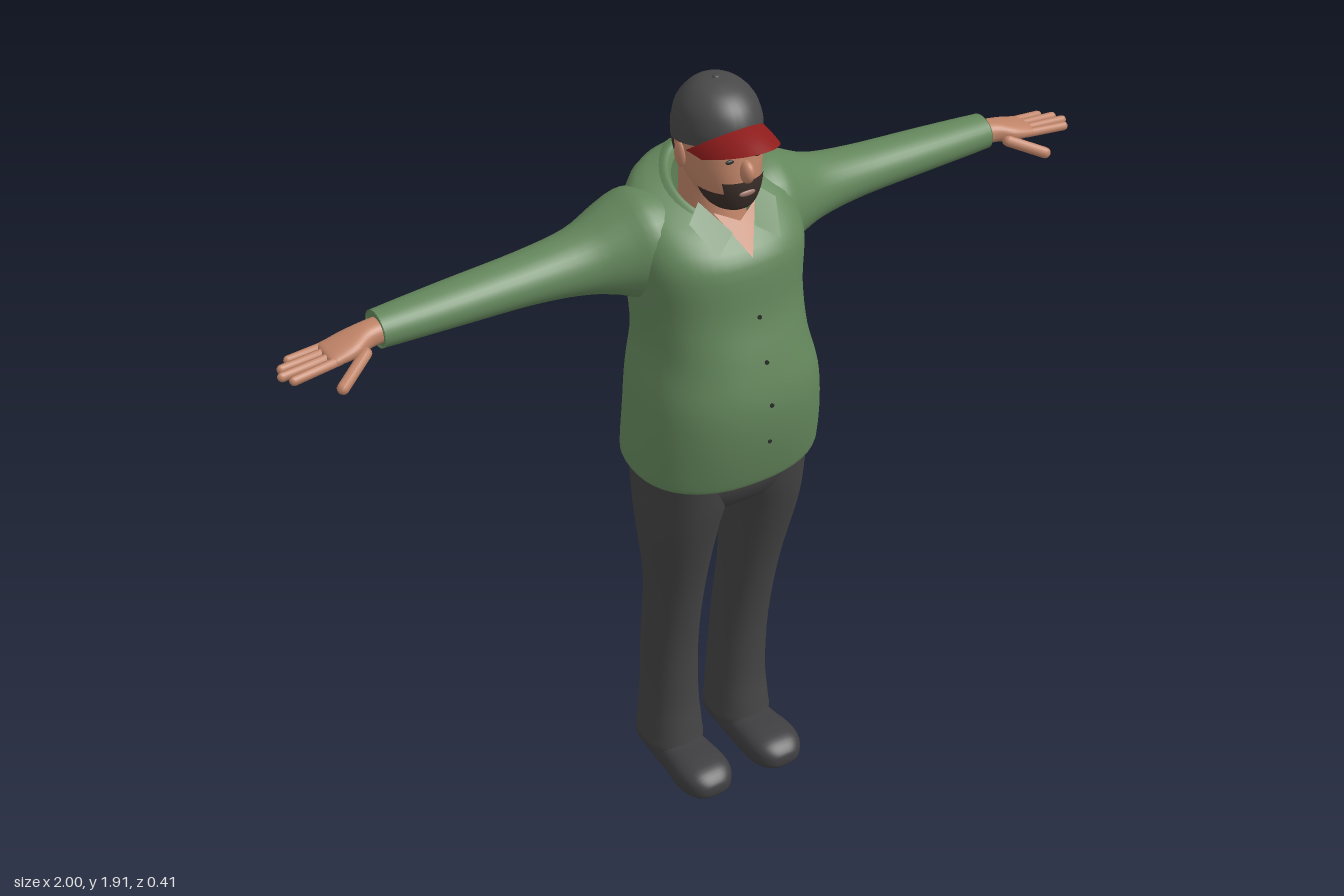
import * as THREE from 'three';
import { mergeGeometries } from 'three/addons/utils/BufferGeometryUtils.js';

const paint = (name, color, side = THREE.FrontSide) => {
  const m = new THREE.MeshStandardMaterial({ color, side });
  m.name = name;
  return m;
};

// Smooth skin over cross-sections. Row: [height, centreX, halfWidth, zFront, zBack, tilt]
// Angle 0 is the front (+z); arc and span pick part of the surface, grow inflates it.
function loft(rows, { p = 2, arc = [0, 360], span = [0, rows.length - 1], grow = 0, n = 32, steps = 4 } = {}) {
  const full = arc[1] - arc[0] >= 360;
  const flat = rows.flatMap(r => [...r, 0].slice(0, 6));
  const curve = new THREE.CubicInterpolant(rows.map((_, i) => i), flat, 6, new Float32Array(6));
  const power = v => Math.sign(v) * Math.abs(v) ** (2 / p);
  const levels = Math.ceil((span[1] - span[0]) * steps);
  const cols = full ? n : n + 1;
  const pos = [], index = [];
  for (let i = 0; i <= levels; i++) {
    const [y, x, w, zf, zb, tilt] = curve.evaluate(span[0] + (span[1] - span[0]) * i / levels);
    for (let j = 0; j < cols; j++) {
      const a = THREE.MathUtils.degToRad(arc[0] + (arc[1] - arc[0]) * j / n);
      const dx = (Math.max(0, w) + grow) * power(Math.sin(a));
      const dz = (Math.max(0, (zf - zb) / 2) + grow) * power(Math.cos(a));
      pos.push(x + dx, y + tilt * dz, (zf + zb) / 2 + dz);
    }
  }
  for (let i = 0; i < levels; i++) for (let j = 0; j < n; j++) {
    const a = i * cols + j, b = i * cols + (j + 1) % cols;
    index.push(a, b, a + cols, b, b + cols, a + cols);
  }
  const g = new THREE.BufferGeometry();
  g.setAttribute('position', new THREE.Float32BufferAttribute(pos, 3));
  g.setIndex(index);
  g.computeVertexNormals();
  return g;
}

// Reflection across x = 0 with the faces turned back outward
function mirrored(geo) {
  const g = geo.clone().scale(-1, 1, 1);
  const ix = g.index.array;
  for (let i = 0; i < ix.length; i += 3) [ix[i], ix[i + 1]] = [ix[i + 1], ix[i]];
  g.computeVertexNormals();
  return g;
}

function facets(points, index) {
  const g = new THREE.BufferGeometry();
  g.setAttribute('position', new THREE.Float32BufferAttribute(points.flat(), 3));
  g.setIndex(index);
  g.computeVertexNormals();
  return g;
}

// Rounded finger between two points
function finger(a, b, r) {
  const from = new THREE.Vector3(...a), d = new THREE.Vector3(...b).sub(from);
  const g = new THREE.CapsuleGeometry(r, d.length() - r, 4, 10);
  const q = new THREE.Quaternion().setFromUnitVectors(new THREE.Vector3(0, 1, 0), d.clone().normalize());
  return g.applyQuaternion(q).translate(...from.addScaledVector(d, 0.5).toArray());
}

const ball = (x, y, z, rx, ry, rz) => new THREE.SphereGeometry(1, 16, 12).scale(rx, ry, rz).translate(x, y, z);

export function createModel() {
  const model = new THREE.Group();
  model.name = 'standingMan';
  const shirt = paint('shirt green', 0x64875c, THREE.DoubleSide);
  const trousers = paint('trouser grey', 0x444444);
  const shoes = paint('shoe grey', 0x404042);
  const skin = paint('skin', 0xc08468, THREE.DoubleSide);
  const cap = paint('cap grey', 0x484848, THREE.DoubleSide);
  const red = paint('brim red', 0x8f1c1c, THREE.DoubleSide);
  const hair = paint('hair brown', 0x3a2e29, THREE.DoubleSide);
  const dark = paint('button and eye dark', 0x2b2d2a);
  const lip = paint('lip', 0x9a7468);

  const add = (name, geo, mat) => {
    const m = new THREE.Mesh(geo, mat);
    m.name = name;
    model.add(m);
  };
  const pair = (name, geo, mat) => {
    add('left' + name, geo, mat);
    add('right' + name, mirrored(geo), mat);
  };

  // Shirt body with a hem that is lower in front
  add('shirtBody', loft([
    [0.985, 0, 0.225, 0.165, -0.175, -0.1], [1.0, 0, 0.23, 0.175, -0.178, -0.1],
    [1.1, 0, 0.222, 0.2, -0.183, -0.04], [1.2, 0, 0.21, 0.207, -0.19], [1.3, 0, 0.188, 0.185, -0.19],
    [1.4, 0, 0.19, 0.155, -0.195], [1.52, 0, 0.2, 0.14, -0.2],
    [1.615, 0, 0.17, 0.095, -0.19, -0.3], [1.645, 0, 0.085, 0.07, -0.14, -0.5]
  ], { p: 2.3, n: 48 }), shirt);

  // Sleeves run out along x from inside the shoulders
  pair('Sleeve', loft([
    [0.08, -1.53, 0.1, 0.03, -0.17], [0.16, -1.52, 0.124, 0.045, -0.2], [0.22, -1.517, 0.103, 0.015, -0.192],
    [0.3, -1.51, 0.074, -0.015, -0.17], [0.42, -1.508, 0.057, -0.03, -0.16], [0.6, -1.507, 0.048, -0.037, -0.15],
    [0.755, -1.504, 0.041, -0.047, -0.14], [0.766, -1.504, 0.036, -0.052, -0.135], [0.766, -1.504, 0, -0.093, -0.093]
  ]).rotateZ(-Math.PI / 2), shirt);

  // Collar band, collar points and open neck
  add('collar', loft([
    [1.622, 0, 0.12, 0.095, -0.17, -0.5], [1.652, 0, 0.09, 0.06, -0.14, -0.5], [1.635, 0, 0.08, 0.05, -0.125, -0.5]
  ], { arc: [32, 328] }), shirt);
  pair('CollarPoint', facets(
    [[0.07, 1.645, 0.03], [0.028, 1.592, 0.1], [0.078, 1.558, 0.122], [0.108, 1.615, 0.055]], [0, 1, 2, 0, 2, 3]), shirt);
  add('openNeck', facets(
    [[0, 1.54, 0.135], [0.052, 1.628, 0.06], [0, 1.605, 0.085], [-0.052, 1.628, 0.06]], [0, 1, 2, 0, 2, 3]), skin);
  for (const [y, z] of [[1.1, 0.2], [1.2, 0.207], [1.3, 0.185], [1.4, 0.155]])
    add('shirtButton', new THREE.CylinderGeometry(0.005, 0.005, 0.006, 10).rotateX(Math.PI / 2).translate(0.005, y, z), dark);

  // Trousers: hips and two legs
  add('hips', loft([
    [0.85, 0, 0, -0.01, -0.01], [0.865, 0, 0.15, 0.09, -0.11], [0.92, 0, 0.194, 0.135, -0.152],
    [0.98, 0, 0.2, 0.15, -0.165], [1.05, 0, 0.19, 0.15, -0.165]
  ], { p: 2.4 }), trousers);
  pair('Leg', loft([
    [0.075, 0.097, 0, -0.08, -0.08], [0.075, 0.097, 0.07, 0.008, -0.163], [0.12, 0.097, 0.073, 0.012, -0.165],
    [0.22, 0.097, 0.067, 0.002, -0.158], [0.4, 0.1, 0.064, 0.012, -0.143], [0.6, 0.104, 0.067, 0.05, -0.117],
    [0.8, 0.109, 0.086, 0.105, -0.13], [0.9, 0.102, 0.096, 0.13, -0.15], [1.0, 0.1, 0.098, 0.145, -0.16]
  ], { p: 2.2 }), trousers);

  // Shoes, skinned from heel to toe
  pair('Shoe', loft([
    [-0.175, 0.098, 0, -0.05, -0.05], [-0.165, 0.098, 0.045, -0.004, -0.09], [-0.1, 0.098, 0.055, 0, -0.11],
    [0, 0.098, 0.062, -0.008, -0.102], [0.07, 0.1, 0.068, -0.013, -0.106], [0.12, 0.1, 0.06, -0.022, -0.102],
    [0.15, 0.1, 0.035, -0.038, -0.08], [0.156, 0.1, 0, -0.06, -0.06]
  ], { p: 2.7 }).rotateX(Math.PI / 2), shoes);

  // Hands with four fingers and a thumb
  const palm = loft([
    [0.74, -1.503, 0.026, -0.062, -0.122], [0.79, -1.5, 0.026, -0.06, -0.122], [0.83, -1.496, 0.022, -0.043, -0.126],
    [0.87, -1.49, 0.017, -0.04, -0.126], [0.89, -1.488, 0.011, -0.045, -0.122], [0.895, -1.488, 0, -0.083, -0.083]
  ], { p: 2.3 }).rotateZ(-Math.PI / 2);
  const fingers = [[-0.115, 0.965], [-0.095, 0.99], [-0.073, 1.0], [-0.051, 0.985]].map(
    ([z, tip]) => finger([0.865, 1.489, z], [tip - 0.005, 1.478, z + (z + 0.083) * 0.15], 0.0105));
  fingers.push(finger([0.81, 1.488, -0.052], [0.895, 1.452, 0], 0.0135));
  pair('Palm', palm, skin);
  pair('Fingers', mergeGeometries(fingers), skin);

  // Neck and head
  add('neck', loft([[1.55, 0, 0.075, 0.06, -0.12], [1.63, 0, 0.066, 0.045, -0.112], [1.72, 0, 0.066, 0.04, -0.108]]), skin);
  const headRows = [
    [1.635, 0, 0, 0.05, 0.05], [1.639, 0, 0.036, 0.088, 0], [1.66, 0, 0.058, 0.1, -0.05],
    [1.69, 0, 0.071, 0.107, -0.085], [1.72, 0, 0.079, 0.107, -0.105], [1.75, 0, 0.084, 0.104, -0.112],
    [1.78, 0, 0.086, 0.1, -0.113], [1.82, 0, 0.08, 0.09, -0.11], [1.86, 0, 0.05, 0.06, -0.08]
  ];
  add('head', loft(headRows, { p: 2.2 }), skin);
  add('nose', ball(0, 1.735, 0.108, 0.015, 0.026, 0.022), skin);
  pair('Ear', ball(0.086, 1.745, -0.015, 0.01, 0.03, 0.018), skin);
  pair('Eye', ball(0.033, 1.762, 0.096, 0.011, 0.005, 0.004), dark);
  pair('Eyebrow', ball(0.034, 1.779, 0.094, 0.018, 0.004, 0.005), hair);

  // Beard and back hair follow the head surface
  const onHead = (arc, span, grow = 0.004) => loft(headRows, { p: 2.2, arc, span, grow, n: 20 });
  add('goatee', onHead([-36, 36], [0.4, 3.8], 0.005), hair);
  add('jawBeard', onHead([-80, 80], [1.2, 2.9]), hair);
  add('backHair', onHead([105, 255], [4.4, 6.5]), hair);
  add('mouth', ball(0, 1.686, 0.111, 0.02, 0.007, 0.005), lip);

  // Cap crown, top button and arched brim
  add('capCrown', loft([
    [1.778, 0, 0.093, 0.1, -0.118, 0.2], [1.81, 0, 0.092, 0.098, -0.118, 0.17], [1.85, 0, 0.083, 0.082, -0.106, 0.1],
    [1.88, 0, 0.062, 0.055, -0.08, 0.05], [1.897, 0, 0.035, 0.022, -0.05], [1.903, 0, 0, -0.012, -0.012]
  ]), cap);
  add('capButton', ball(0, 1.902, -0.012, 0.008, 0.004, 0.008), cap);
  add('capBrim', loft([[1.759, 0, 0.088, 0.18, -0.1, 0.4], [1.75, 0, 0.092, 0.1, -0.118, 0.78]], { arc: [-78, 78] }), red);

  return model;
}
